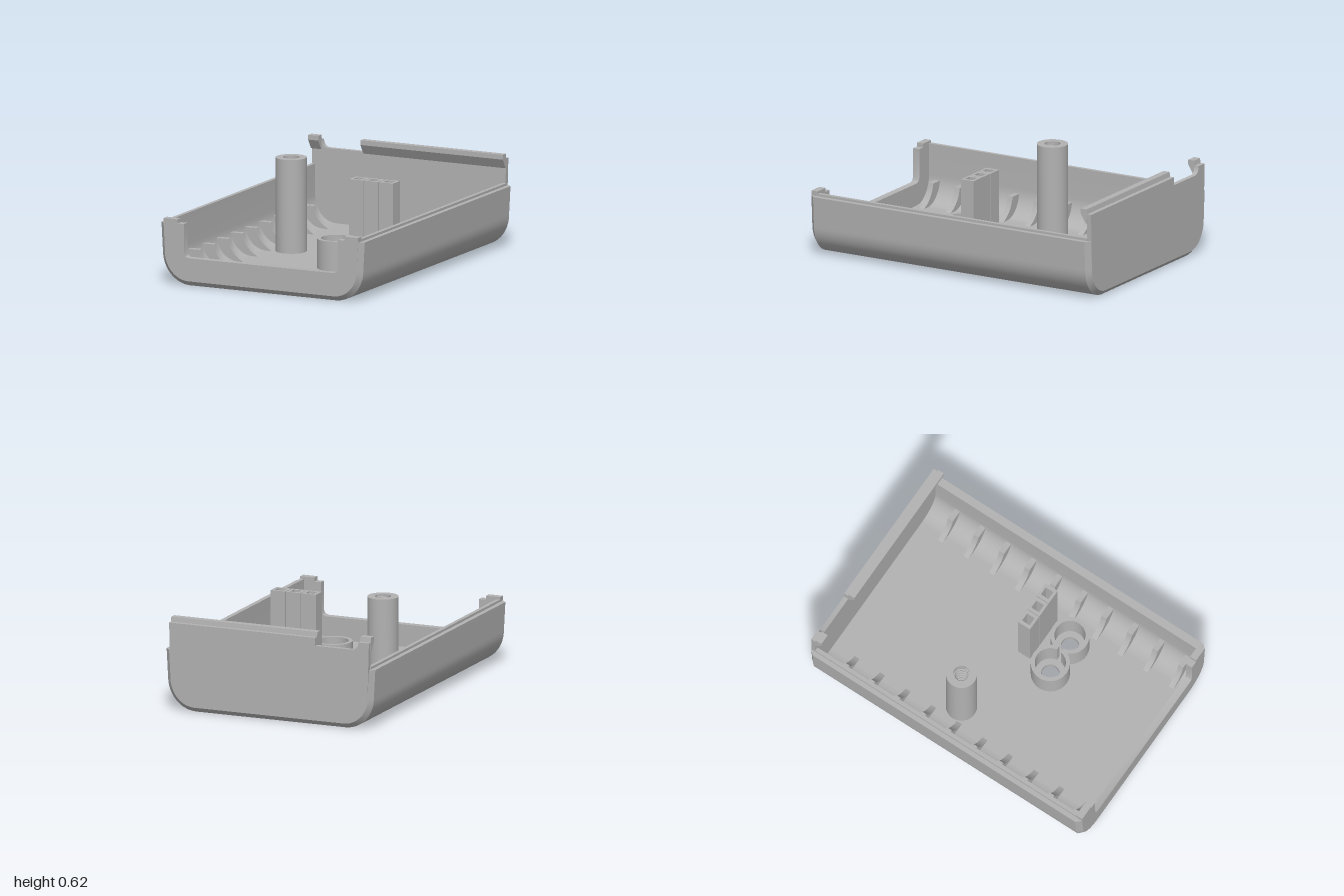
import * as THREE from 'three';
import { toCreasedNormals } from 'three/addons/utils/BufferGeometryUtils.js';

const V2 = (x, y) => new THREE.Vector2(x, y);

// Quarter ellipse from the bottom (angle -90) up to the side, centred on (0.5, 0.2)
function corner(rx, ry, n = 12) {
  return Array.from({ length: n + 1 }, (_, i) => {
    const a = -Math.PI / 2 + (i / n) * Math.PI / 2;
    return V2(0.5 + rx * Math.cos(a), 0.2 + ry * Math.sin(a));
  });
}
const flip = (pts) => pts.map((p) => V2(-p.x, p.y)).reverse();

export function createModel() {
  const group = new THREE.Group();
  const grey = new THREE.MeshStandardMaterial({ color: 0xb2b2b2, side: THREE.DoubleSide });
  grey.name = 'grey plastic';

  function add(name, geo, x = 0, y = 0, z = 0) {
    const mesh = new THREE.Mesh(geo, grey);
    mesh.name = name;
    mesh.position.set(x, y, z);
    group.add(mesh);
    return mesh;
  }
  // Extrude along z from z0 to z1
  function extrudeZ(shape, z0, z1) {
    const geo = new THREE.ExtrudeGeometry(shape, { depth: z1 - z0, bevelEnabled: false, curveSegments: 24 });
    return toCreasedNormals(geo.translate(0, 0, z0), 0.5);
  }
  // Extrude a plan (x, -z) upward from y0 to y1
  function extrudeY(shape, y0, y1) {
    const geo = new THREE.ExtrudeGeometry(shape, { depth: y1 - y0, bevelEnabled: false, curveSegments: 32 });
    return toCreasedNormals(geo.rotateX(-Math.PI / 2).translate(0, y0, 0), 0.5);
  }
  function rect(PathType, cx, z, w, d) {
    return new PathType([V2(cx - w / 2, -z - d / 2), V2(cx + w / 2, -z - d / 2),
      V2(cx + w / 2, -z + d / 2), V2(cx - w / 2, -z + d / 2)]);
  }

  const cupX = [0.122, 0.337], cupZ = 0.23;
  const tubeX = [0.178, 0.28, 0.383], tubeZ = 0.03;

  // Floor with round and square through holes
  const floor = rect(THREE.Shape, 0, 0, 1, 1.94);
  cupX.forEach((x) => floor.holes.push(new THREE.Path().absarc(x, -cupZ, 0.056, 0, Math.PI * 2, true)));
  tubeX.forEach((x) => floor.holes.push(rect(THREE.Path, x, tubeZ, 0.055, 0.055)));
  add('floor', extrudeY(floor, 0, 0.035));

  // Curved side walls with a stepped rim, and their inner ribs
  const wall = [...corner(0.19, 0.2), V2(0.70, 0.38), V2(0.67, 0.38), V2(0.67, 0.395),
    V2(0.645, 0.395), ...corner(0.145, 0.165).reverse()];
  const ribInner = new THREE.QuadraticBezierCurve(V2(0.565, 0.17), V2(0.545, 0.07), V2(0.445, 0.03)).getPoints(8);
  const rib = [...corner(0.155, 0.175), V2(0.655, 0.21), V2(0.645, 0.17), ...ribInner];
  for (const [side, label] of [[1, 'left'], [-1, 'right']]) {
    const mirror = (pts) => new THREE.Shape(side > 0 ? pts : flip(pts));
    add(label + 'Wall', extrudeZ(mirror(wall), -0.97, 0.97));
    const ribGeo = extrudeZ(mirror(rib), -0.018, 0.018);
    for (let i = 0; i < 10; i++) add(label + 'Rib', ribGeo, 0, 0, -0.807 + i * 0.189);
  }

  // Front wall with a wide cut-out
  const lower = corner(0.16, 0.17);
  const cutHalf = [V2(0.67, 0.41), V2(0.575, 0.41), V2(0.575, 0.385), V2(0.53, 0.385),
    V2(0.53, 0.205), V2(0.521, 0.184), V2(0.5, 0.175)];
  add('frontWall', extrudeZ(new THREE.Shape([...flip(lower), ...lower, ...cutHalf, ...flip(cutHalf)]), 0.955, 1));

  // Back wall with a filleted notch
  const back = new THREE.Shape([...flip(lower), ...lower, V2(0.67, 0.55), V2(-0.31, 0.55), V2(-0.31, 0.5), V2(-0.56, 0.5)]);
  back.quadraticCurveTo(-0.595, 0.505, -0.6, 0.55);
  back.lineTo(-0.67, 0.55);
  add('backWall', extrudeZ(back, -1, -0.97));

  // Snap hooks along the top of the back wall, profile drawn as (z, y)
  const hook = new THREE.Shape([V2(-0.925, 0.58), V2(-0.967, 0.58), V2(-0.972, 0.55), V2(-0.972, 0.49),
    V2(-0.962, 0.49), V2(-0.925, 0.55)]);
  for (const [x0, x1] of [[-0.67, -0.6], [-0.31, 0.67]]) {
    const geo = new THREE.ExtrudeGeometry(hook, { depth: x1 - x0, bevelEnabled: false });
    add('snapHook', geo.rotateY(-Math.PI / 2).scale(1, 1, 1), x1, 0, 0);
  }

  // Chamfers joining the end walls to the outer skin
  const halfEdge = (c, x) => [V2(0.67, 0.38), V2(x, 0.38), ...c.slice().reverse()];
  const inset = halfEdge(lower, 0.67), outer = halfEdge(corner(0.19, 0.2), 0.70);
  const a = [...inset, ...flip(inset)], b = [...outer, ...flip(outer)];
  for (const s of [1, -1]) {
    const pos = [], index = [];
    a.forEach((p, i) => {
      pos.push(p.x, p.y, s, b[i].x, b[i].y, s * 0.97);
      if (i === 0) return;
      const k = 2 * i - 2;
      if (s > 0) index.push(k, k + 2, k + 3, k, k + 3, k + 1);
      else index.push(k, k + 3, k + 2, k, k + 1, k + 3);
    });
    const geo = new THREE.BufferGeometry();
    geo.setAttribute('position', new THREE.Float32BufferAttribute(pos, 3));
    geo.setIndex(index);
    add(s > 0 ? 'frontChamfer' : 'backChamfer', toCreasedNormals(geo, 0.5));
  }

  // Screw post with a threaded bore
  const post = new THREE.LatheGeometry([V2(0.096, 0.03), V2(0.096, 0.62), V2(0.05, 0.62),
    V2(0.05, 0.1), V2(0, 0.1)], 40);
  add('screwPost', toCreasedNormals(post, 0.5), -0.36, 0, -0.1);
  const helix = new THREE.CatmullRomCurve3(Array.from({ length: 97 }, (_, i) => {
    const t = (i / 16) * Math.PI * 2;
    return new THREE.Vector3(0.046 * Math.cos(t), 0.605 - i * 0.0026, 0.046 * Math.sin(t));
  }));
  add('screwThread', new THREE.TubeGeometry(helix, 160, 0.01, 6), -0.36, 0, -0.1);

  // Twin round cups joined by a narrow neck
  const pairOutline = (path, r, t) => path
    .absarc(cupX[0], -cupZ, r, t, Math.PI * 2 - t, false)
    .absarc(cupX[1], -cupZ, r, Math.PI + t, Math.PI * 3 - t, false);
  const cups = pairOutline(new THREE.Shape(), 0.12, 0.461);
  cups.holes.push(pairOutline(new THREE.Path(), 0.095, 0.158));
  add('twinCups', extrudeY(cups, 0.03, 0.22));

  // Three square light tubes
  tubeX.forEach((x) => {
    const tube = rect(THREE.Shape, x, tubeZ, 0.098, 0.09);
    tube.holes.push(rect(THREE.Path, x, tubeZ, 0.055, 0.055));
    add('lightTube', extrudeY(tube, 0.03, 0.56));
  });

  return group;
}
